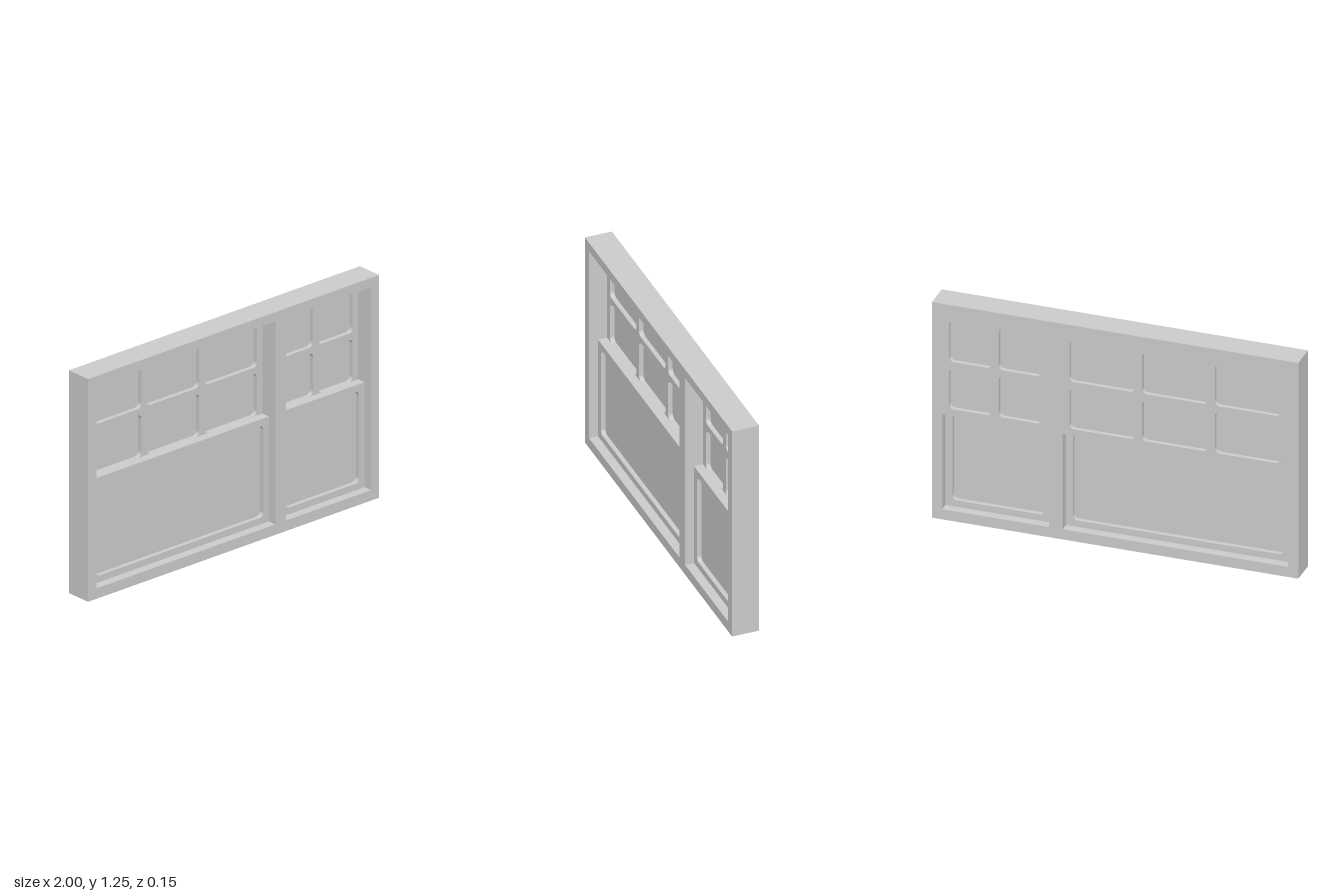
import * as THREE from 'three';

const material = new THREE.MeshStandardMaterial({ color: 0xcccccc, flatShading: true });
const glassMaterial = new THREE.MeshStandardMaterial({ color: 0xcccccc, side: THREE.DoubleSide });

const HEIGHT = 1.25, DEPTH = 0.15;
const BOTTOM = 0.059, TOP = 1.198;      // opening heights
const RAIL = 0.0375, BAR = 0.035;       // sash rail and glazing bar widths
const SASH_DEPTH = 0.05, RADIUS = 0.027;

// Rectangle outline, with rounded corners when r > 0
function rect(path, x0, y0, x1, y1, r = 0) {
  if (r === 0) {
    path.moveTo(x0, y0).lineTo(x1, y0).lineTo(x1, y1).lineTo(x0, y1).closePath();
    return path;
  }
  const q = Math.PI / 2;
  path.moveTo(x0 + r, y0);
  path.lineTo(x1 - r, y0).absarc(x1 - r, y0 + r, r, -q, 0);
  path.lineTo(x1, y1 - r).absarc(x1 - r, y1 - r, r, 0, q);
  path.lineTo(x0 + r, y1).absarc(x0 + r, y1 - r, r, q, 2 * q);
  path.lineTo(x0, y0 + r).absarc(x0 + r, y0 + r, r, 2 * q, 3 * q);
  return path;
}

function extrude(name, shape, depth, z) {
  const geometry = new THREE.ExtrudeGeometry(shape, { depth, bevelEnabled: false, curveSegments: 3 });
  const mesh = new THREE.Mesh(geometry, material);
  mesh.name = name;
  mesh.position.z = z - depth / 2;
  return mesh;
}

// Sash with a grid of rounded panes and a sheet of glass in its middle plane
function makeSash(name, x0, y0, x1, y1, z, cols, rows) {
  const sash = new THREE.Group();
  sash.name = name;
  const shape = rect(new THREE.Shape(), x0, y0, x1, y1);
  const w = (x1 - x0 - 2 * RAIL - (cols - 1) * BAR) / cols;
  const h = (y1 - y0 - 2 * RAIL - (rows - 1) * BAR) / rows;
  for (let i = 0; i < cols; i++) {
    for (let j = 0; j < rows; j++) {
      const px = x0 + RAIL + i * (w + BAR), py = y0 + RAIL + j * (h + BAR);
      shape.holes.push(rect(new THREE.Path(), px, py, px + w, py + h, RADIUS));
    }
  }
  sash.add(extrude(name + 'Frame', shape, SASH_DEPTH, z));

  const inset = RAIL / 2;
  const glass = new THREE.Mesh(
    new THREE.PlaneGeometry(x1 - x0 - 2 * inset, y1 - y0 - 2 * inset), glassMaterial);
  glass.name = name + 'Glass';
  glass.position.set((x0 + x1) / 2, (y0 + y1) / 2, z);
  sash.add(glass);
  return sash;
}

export function createModel() {
  const model = new THREE.Group();
  model.name = 'sashWindow';

  // The two window openings, wide and narrow
  const openings = [
    { name: 'wide', x0: -0.944, x1: 0.286, cols: 3 },
    { name: 'narrow', x0: 0.361, x1: 0.944, cols: 2 },
  ];

  // Outer frame
  const outline = rect(new THREE.Shape(), -1, 0, 1, HEIGHT);
  for (const o of openings) outline.holes.push(rect(new THREE.Path(), o.x0, BOTTOM, o.x1, TOP));
  model.add(extrude('outerFrame', outline, DEPTH, 0));

  // Upper sash flush with the back, lower sash in the middle; their rails overlap
  const middle = (BOTTOM + TOP) / 2 + 0.001;
  for (const o of openings) {
    model.add(makeSash(o.name + 'UpperSash', o.x0, middle - RAIL / 2, o.x1, TOP, -SASH_DEPTH, o.cols, 2));
    model.add(makeSash(o.name + 'LowerSash', o.x0, BOTTOM, o.x1, middle + RAIL / 2, 0, 1, 1));
  }
  return model;
}
